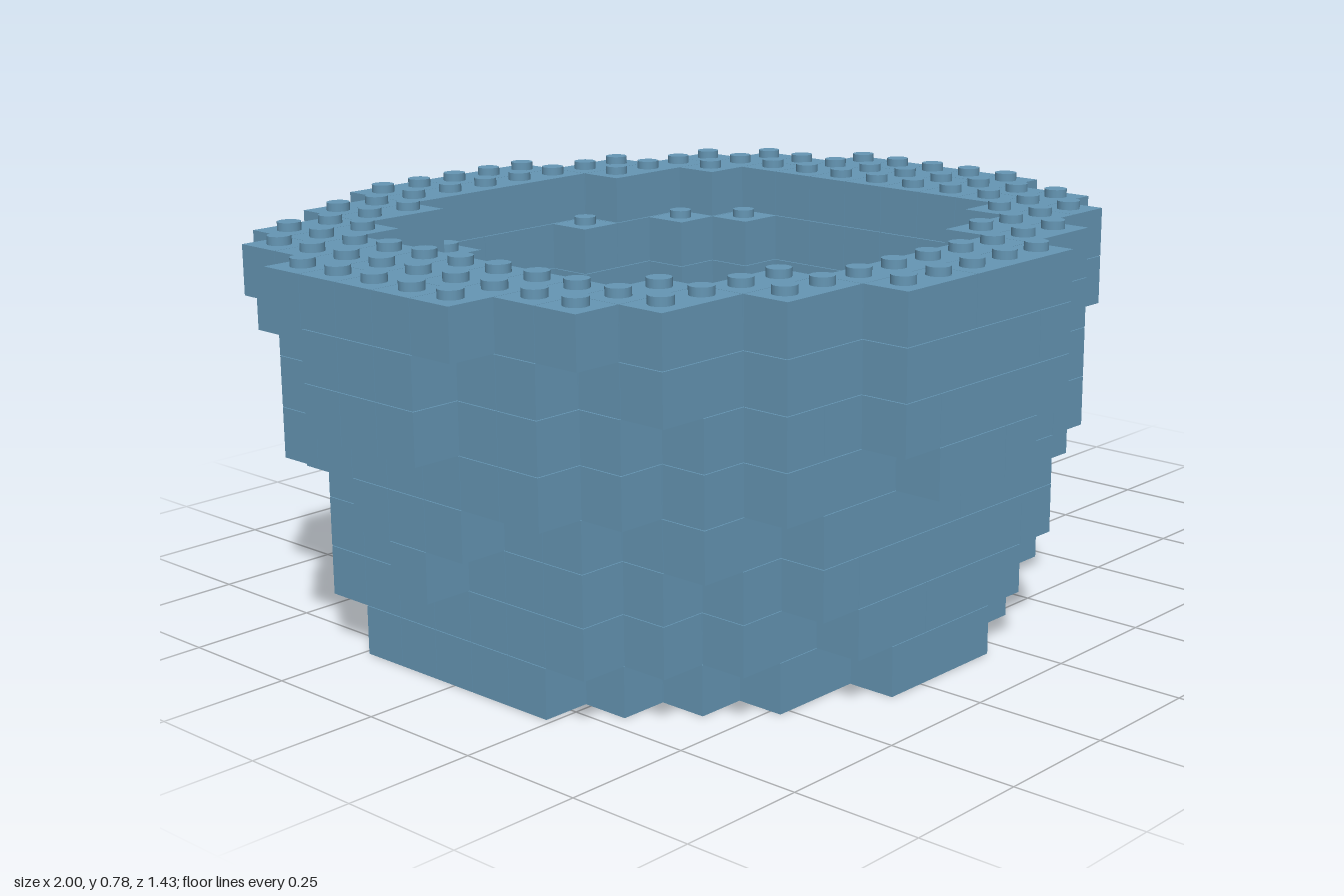
import * as THREE from 'three';
import { mergeGeometries } from 'three/addons/utils/BufferGeometryUtils.js';

const P = 2 / 21;        // stud pitch
const H = 0.0953;        // brick height
const GAP = 0.0012;      // seam between bricks
const STUD_R = 0.0225, STUD_H = 0.016;
const CX = 8;            // column at the middle of the pot

// Half widths in studs of the hollow, row by row outwards from the middle
const WELL = [5, 5, 5, 4, 3];
const WELL_UPPER = [5, 5, 5, 4, 3, 1];
const MOUTH = [5, 5, 5, 5, 4, 2];

// Courses from the ground up: the outline is an ellipse with radii rx, rz in studs
const LAYERS = [
  { name: 'foot', rx: 6.4, rz: 6.1, hole: [] },
  { name: 'base', rx: 6.8, rz: 6.4, hole: [] },
  { name: 'floor', rx: 7.05, rz: 6.65, hole: [] },
  { name: 'lowerWall', rx: 7.3, rz: 6.9, hole: WELL },
  { name: 'middleWall', rx: 7.8, rz: 7.1, hole: WELL },
  { name: 'upperWall', rx: 8.1, rz: 7.25, hole: WELL_UPPER },
  { name: 'rimSupport', rx: 8.25, rz: 7.35, hole: WELL_UPPER },
  { name: 'rim', rx: 8.35, rz: 7.4, hole: MOUTH },
];

const inPot = (k, dx, dz) => {
  const layer = LAYERS[k];
  if (!layer) return false;
  const inOutline = (dx / layer.rx) ** 2 + (dz / layer.rz) ** 2 <= 1;
  const half = layer.hole[Math.abs(dz)] ?? -1;
  return inOutline && Math.abs(dx) > half;
};

// Handle: a three by three slab resting on a lower tip
const inHandle = (k, dx, dz) => Math.abs(dz) <= 1 &&
  ((k === 6 && dx >= 9 && dx <= 11) || (k === 5 && dx >= 11 && dx <= 12));

const xOf = (dx) => -1 + (dx + CX + 0.5) * P;

// One brick covering the columns from a to b of a row
function brick(k, a, b, dz) {
  const g = new THREE.BoxGeometry((b - a + 1) * P - GAP, H - GAP, P - GAP);
  return g.translate((xOf(a) + xOf(b)) / 2, (k + 0.5) * H, dz * P);
}

function stud(k, dx, dz) {
  const g = new THREE.CylinderGeometry(STUD_R, STUD_R, STUD_H, 16);
  return g.translate(xOf(dx), (k + 1) * H + STUD_H / 2 - GAP / 2, dz * P);
}

// Lay bricks of up to five studs in every row, and studs where nothing is above
function layCourse(k, filled) {
  const bricks = [], studs = [];
  for (let dz = -7; dz <= 7; dz++) {
    let start = null;
    for (let dx = -8; dx <= 13; dx++) {
      const here = filled(k, dx, dz);
      const joint = (dx + 40 + k * 2 + Math.abs(dz) * 3) % 5 === 0;
      if (start !== null && (!here || joint)) {
        bricks.push(brick(k, start, dx - 1, dz));
        start = null;
      }
      if (here && start === null) start = dx;
      if (here && !inPot(k + 1, dx, dz) && !inHandle(k + 1, dx, dz)) studs.push(stud(k, dx, dz));
    }
  }
  return { bricks, studs };
}

export function createModel() {
  const model = new THREE.Group();
  model.name = 'brickPot';
  const blue = new THREE.MeshStandardMaterial({ color: 0x6596b4 });
  blue.name = 'dustyBlue';

  const add = (name, parts, parent) => {
    if (!parts.length) return;
    const mesh = new THREE.Mesh(mergeGeometries(parts), blue);
    mesh.name = name;
    parent.add(mesh);
  };
  const addCourse = (name, k, filled) => {
    const course = new THREE.Group();
    course.name = name;
    const { bricks, studs } = layCourse(k, filled);
    add(name + 'Bricks', bricks, course);
    add(name + 'Studs', studs, course);
    model.add(course);
  };

  // Pot, from the foot up to the rim
  LAYERS.forEach((layer, k) => addCourse(layer.name, k, inPot));

  // Handle on the left side
  addCourse('handleTip', 5, inHandle);
  addCourse('handleSlab', 6, inHandle);
  return model;
}
